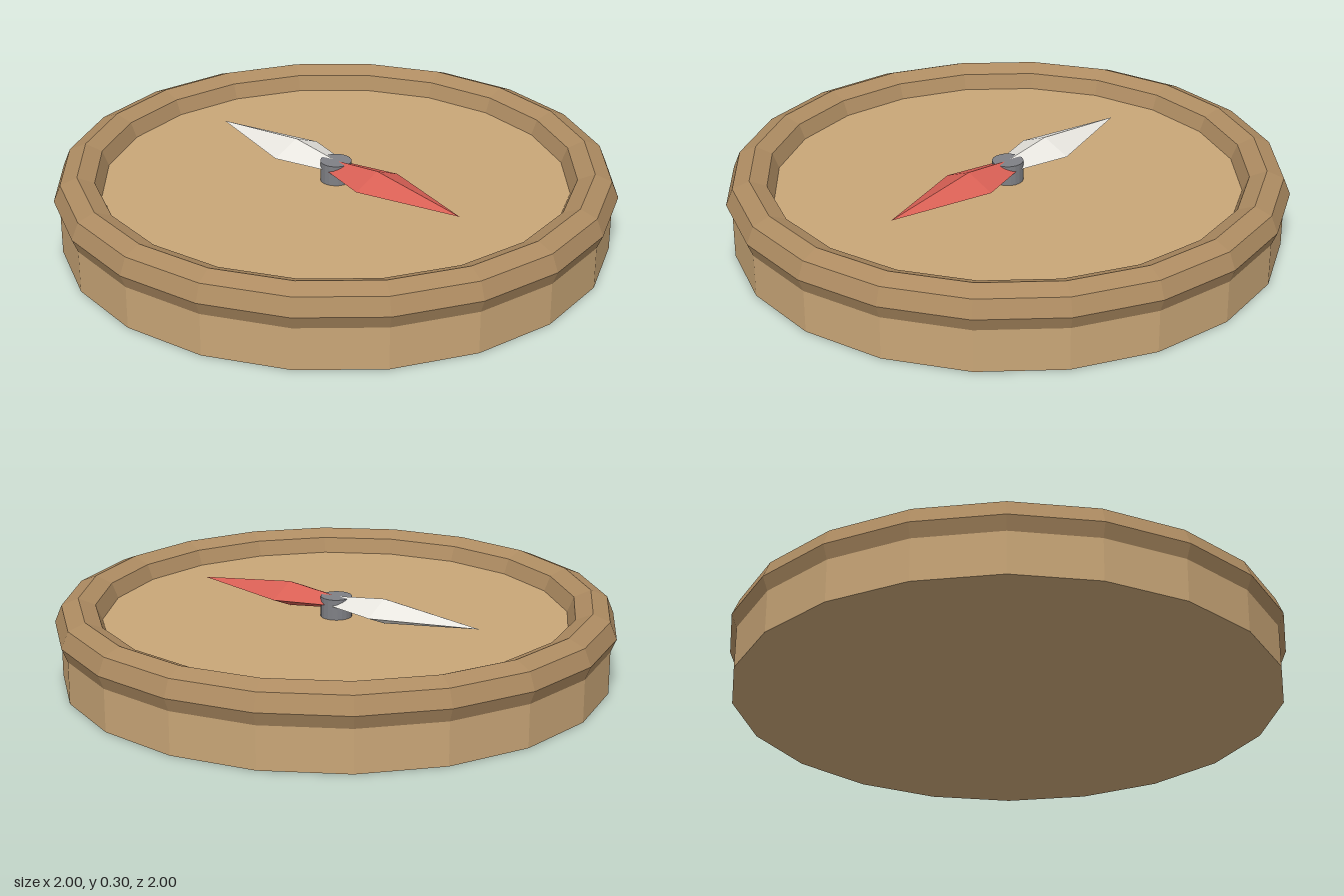
import * as THREE from 'three';

const SIDES = 20;

function addPart(parent, name, geometry, color) {
  const material = new THREE.MeshStandardMaterial({ color, flatShading: true });
  const mesh = new THREE.Mesh(geometry, material);
  mesh.name = name;
  parent.add(mesh);
  return mesh;
}

// Four-sided spindle pointing along +z, flattened in y
function needleGeometry() {
  const profile = [[0, 0], [0.05, 0], [0.105, 0.2], [0, 0.58]]
    .map(([r, h]) => new THREE.Vector2(r, h));
  return new THREE.LatheGeometry(profile, 4).rotateX(Math.PI / 2).scale(1, 0.43, 1);
}

export function createModel() {
  const model = new THREE.Group();
  model.name = 'compass';

  // Solid case whose top is the dial
  const caseHeight = 0.205;
  addPart(model, 'case', new THREE.CylinderGeometry(0.98, 0.98, caseHeight, SIDES), 0xc9a677)
    .position.y = caseHeight / 2;

  // Faceted rim around the dial
  const rim = new THREE.TorusGeometry(0.915, 0.085, 8, SIDES).rotateX(-Math.PI / 2);
  addPart(model, 'rim', rim, 0xae8c62).position.y = 0.2;

  // Needle halves, red to the front and white to the back
  const needle = new THREE.Group();
  needle.name = 'needle';
  needle.position.y = 0.256;
  model.add(needle);
  addPart(needle, 'redNeedle', needleGeometry(), 0xd96055);
  addPart(needle, 'whiteNeedle', needleGeometry().rotateY(Math.PI), 0xe8e6e0);

  // Central pivot pin
  const pinTop = 0.279;
  const pinHeight = pinTop - caseHeight;
  addPart(model, 'pivot', new THREE.CylinderGeometry(0.056, 0.056, pinHeight, SIDES), 0x7f8085)
    .position.y = pinTop - pinHeight / 2;

  return model;
}
